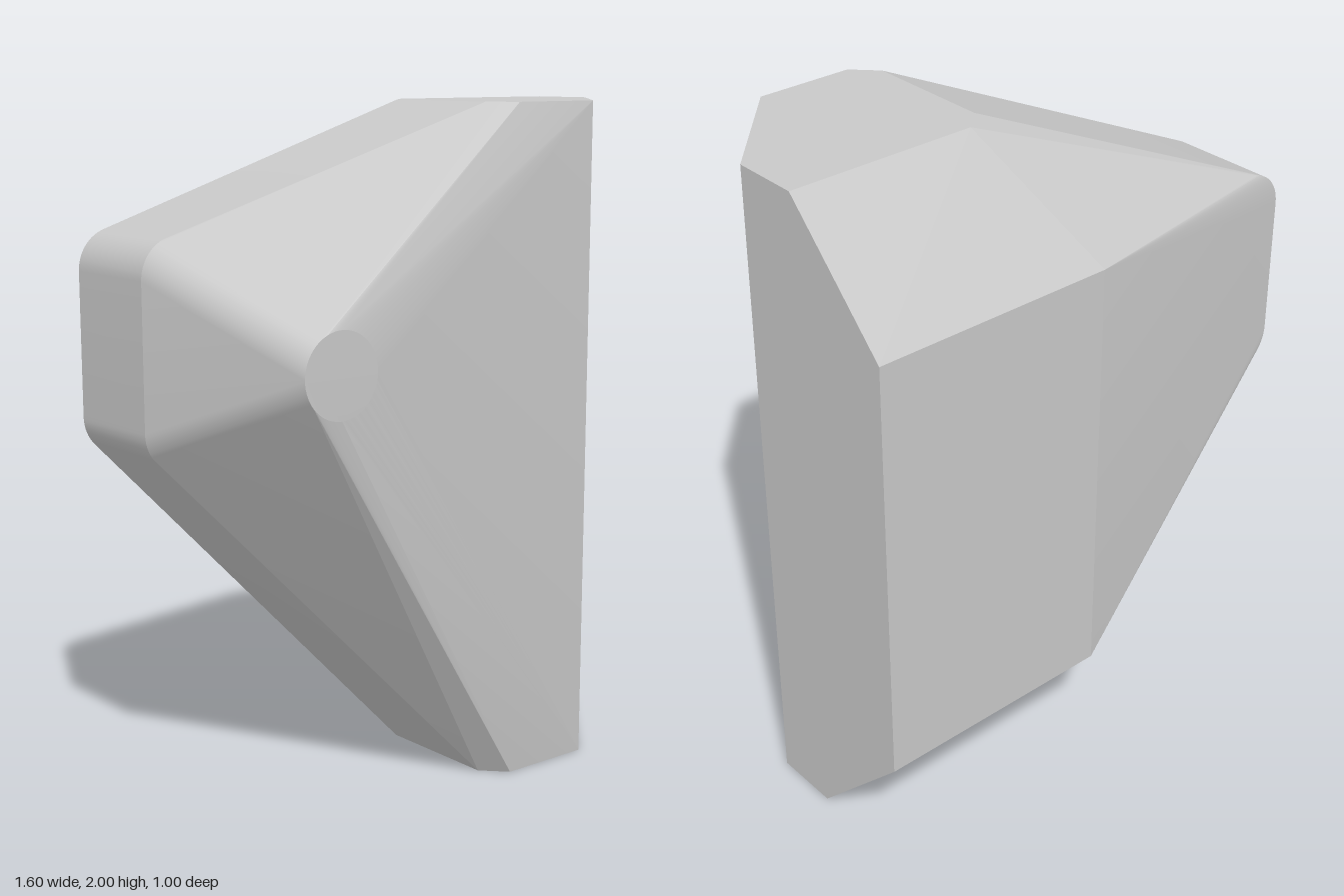
import * as THREE from 'three';
import { ConvexGeometry } from 'three/addons/geometries/ConvexGeometry.js';
import { toCreasedNormals } from 'three/addons/utils/BufferGeometryUtils.js';

export function createModel() {
  const grey = new THREE.MeshStandardMaterial({ color: 0xc8c8c8 });
  grey.name = 'lightGrey';
  const points = [];
  const add = (x, y, z) => points.push(new THREE.Vector3(x, y, z));

  // Round corner: a circle facing the front
  const circle = (cx, cy, z, r = 0.12, n = 64) => {
    for (let i = 0; i < n; i++) {
      const a = (i / n) * Math.PI * 2;
      add(cx + r * Math.cos(a), cy + r * Math.sin(a), z);
    }
  };

  // Outline shared by the flat top and bottom ends
  const outline = [
    [0.798, -0.165], [0.798, 0.04], [0.51, 0.36], [0.218, 0.36],
    [0.15, 0.29], [0.15, -0.1], [0.218, -0.165],
  ];
  for (const y of [0, 2]) for (const [x, z] of outline) add(x, y, z);

  // Flat back panel, set in from both ends
  for (const y of [0.345, 1.655]) for (const x of [0.798, 0.043]) add(x, y, -0.5);

  // Rounded left edge, upper and lower corners
  for (const z of [-0.365, -0.035]) {
    circle(-0.678, 1.53, z);
    circle(-0.678, 1.11, z);
  }

  // Round nose at the front
  circle(-0.53, 1.315, 0.5);

  const body = new THREE.Mesh(toCreasedNormals(new ConvexGeometry(points), 0.12), grey);
  body.name = 'facetedBody';

  const model = new THREE.Group();
  model.name = 'facetedBlock';
  model.add(body);
  return model;
}
